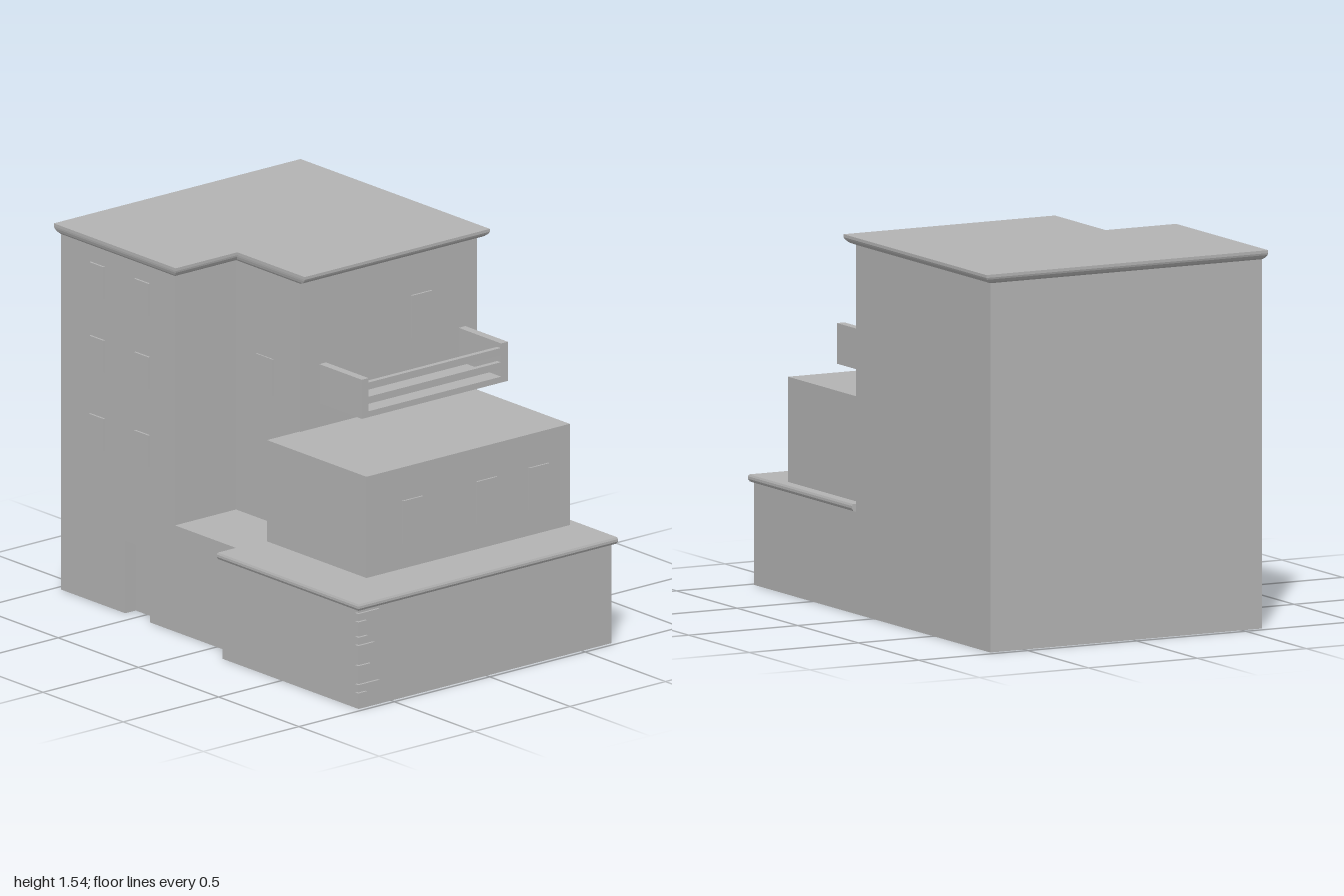
import * as THREE from 'three';

const stone = new THREE.MeshStandardMaterial({ color: 0xb2b2b2, side: THREE.DoubleSide });
stone.name = 'grey stone';

// Shell between a base outline and an eave outline ([x, z] corners, front edge first).
// Each level is [blend, y]; the last one may be capped and one edge may be left open.
function shell(base, eave, levels, cap = false, openEdge = -1) {
  const n = base.length;
  const rings = levels.map(([t, y]) => base.map(([x, z], i) => [
    x + (eave[i][0] - x) * t, y, z + (eave[i][1] - z) * t]));
  const pos = [];
  for (let r = 0; r + 1 < rings.length; r++) {
    for (let i = 0; i < n; i++) {
      if (i === openEdge) continue;
      const j = (i + 1) % n;
      const [a, b, c, d] = [rings[r][i], rings[r][j], rings[r + 1][j], rings[r + 1][i]];
      pos.push(...a, ...b, ...c, ...a, ...c, ...d);
    }
  }
  if (cap) {
    const top = rings[rings.length - 1];
    const flat = top.map(([x, , z]) => new THREE.Vector2(x, -z));
    for (const tri of THREE.ShapeUtils.triangulateShape(flat, [])) {
      for (const k of tri) pos.push(...top[k]);
    }
  }
  const geo = new THREE.BufferGeometry();
  geo.setAttribute('position', new THREE.Float32BufferAttribute(pos, 3));
  geo.computeVertexNormals();
  return geo;
}

export function createModel() {
  const model = new THREE.Group();
  model.name = 'building';

  const add = (name, geo, parent = model) => {
    const mesh = new THREE.Mesh(geo, stone);
    mesh.name = name;
    parent.add(mesh);
    return mesh;
  };
  // Box given by its minimum and maximum on each axis
  const box = (name, x0, x1, y0, y1, z0, z1, parent) =>
    add(name, new THREE.BoxGeometry(x1 - x0, y1 - y0, z1 - z0), parent)
      .position.set((x0 + x1) / 2, (y0 + y1) / 2, (z0 + z1) / 2);
  const group = (name) => {
    const g = new THREE.Group();
    g.name = name;
    model.add(g);
    return g;
  };

  // Ground floor, hollow and open below
  const ground = [[-0.97, 0.59], [0.13, 0.59], [0.13, 0.67], [0.98, 0.67], [0.98, -0.655], [-0.97, -0.655]];
  add('groundFloorWalls', shell(ground, ground, [[0, 0], [0, 0.425]], false, 0));

  // Front wall with the doorway cut out
  const front = new THREE.Shape([
    [-0.97, 0], [-0.57, 0], [-0.57, 0.305], [-0.415, 0.305], [-0.415, 0],
    [0.13, 0], [0.13, 0.445], [-0.97, 0.445],
  ].map(([x, y]) => new THREE.Vector2(x, y)));
  add('entranceWall', new THREE.ShapeGeometry(front).translate(0, 0, 0.59));
  const door = [[-0.57, 0.59], [-0.415, 0.59], [-0.415, 0.535], [-0.57, 0.535]];
  add('doorRecess', shell(door, door, [[0, 0], [0, 0.305]], true, 0));

  // Terrace deck with its moulded ledge
  const deck = [[-0.26, 0.59], [0.13, 0.59], [0.13, 0.67], [0.98, 0.67],
    [0.98, -0.655], [0.14, -0.655], [0.14, 0.27], [-0.26, 0.27]];
  const ledge = [[-0.26, 0.59], [0.117, 0.59], [0.117, 0.688], [1, 0.688],
    [1, -0.673], [0.14, -0.673], [0.14, 0.27], [-0.26, 0.27]];
  add('terrace', shell(deck, ledge, [[0, 0.415], [0.7, 0.42], [1, 0.43], [1, 0.44], [0.8, 0.448]], true));

  // Tower and cornice roof
  const tower = [[-0.97, 0.59], [-0.26, 0.59], [-0.26, 0.27], [0.14, 0.27], [0.14, -0.655], [-0.97, -0.655]];
  const eaves = [[-1, 0.603], [-0.24, 0.603], [-0.24, 0.28], [0.18, 0.28], [0.18, -0.69], [-1, -0.69]];
  add('towerWalls', shell(tower, tower, [[0, 0.425], [0, 1.5]]));
  add('roof', shell(tower, eaves, [[0, 1.5], [0.55, 1.508], [0.9, 1.52], [1, 1.528], [1, 1.54]], true));

  // Middle block standing on the terrace
  box('middleBlock', 0.135, 0.755, 0.445, 0.875, -0.625, 0.44);

  // Windows
  const windows = group('windows');
  for (const x of [-0.785, -0.505]) {
    for (const y of [0.655, 0.985, 1.295]) box('frontWindow', x, x + 0.09, y, y + 0.135, 0.59, 0.599, windows);
  }
  box('recessedWindow', -0.13, -0.025, 0.985, 1.14, 0.27, 0.276, windows);
  box('balconyWindow', 0.14, 0.149, 1.15, 1.33, -0.415, -0.31, windows);
  for (const z of [0.15, -0.24, -0.512]) box('blockWindow', 0.755, 0.763, 0.555, 0.735, z, z + 0.105, windows);

  // Balcony: slab, end panels, rails and brackets
  const balcony = group('balcony');
  box('balconyFloor', 0.14, 0.405, 0.975, 1.0, -0.595, 0.17, balcony);
  for (const z of [0.135, -0.595]) box('balconyEnd', 0.14, 0.405, 0.975, 1.14, z, z + 0.035, balcony);
  for (const y of [1.03, 1.09]) box('balconyRail', 0.38, 0.402, y, y + 0.03, -0.56, 0.135, balcony);
  for (const z of [-0.025, -0.233, -0.437]) box('balconyBracket', 0.14, 0.3, 0.943, 0.975, z, z + 0.035, balcony);

  // Corner stones: [bottom, reach along the side]
  const corner = group('cornerStones');
  for (const [y, z] of [[0.04, 0.635], [0.075, 0.57], [0.155, 0.615], [0.24, 0.595],
    [0.275, 0.63], [0.34, 0.635], [0.375, 0.57]]) {
    box('cornerStone', 0.97, 0.99, y, y + 0.03, z, 0.68, corner);
  }
  return model;
}
